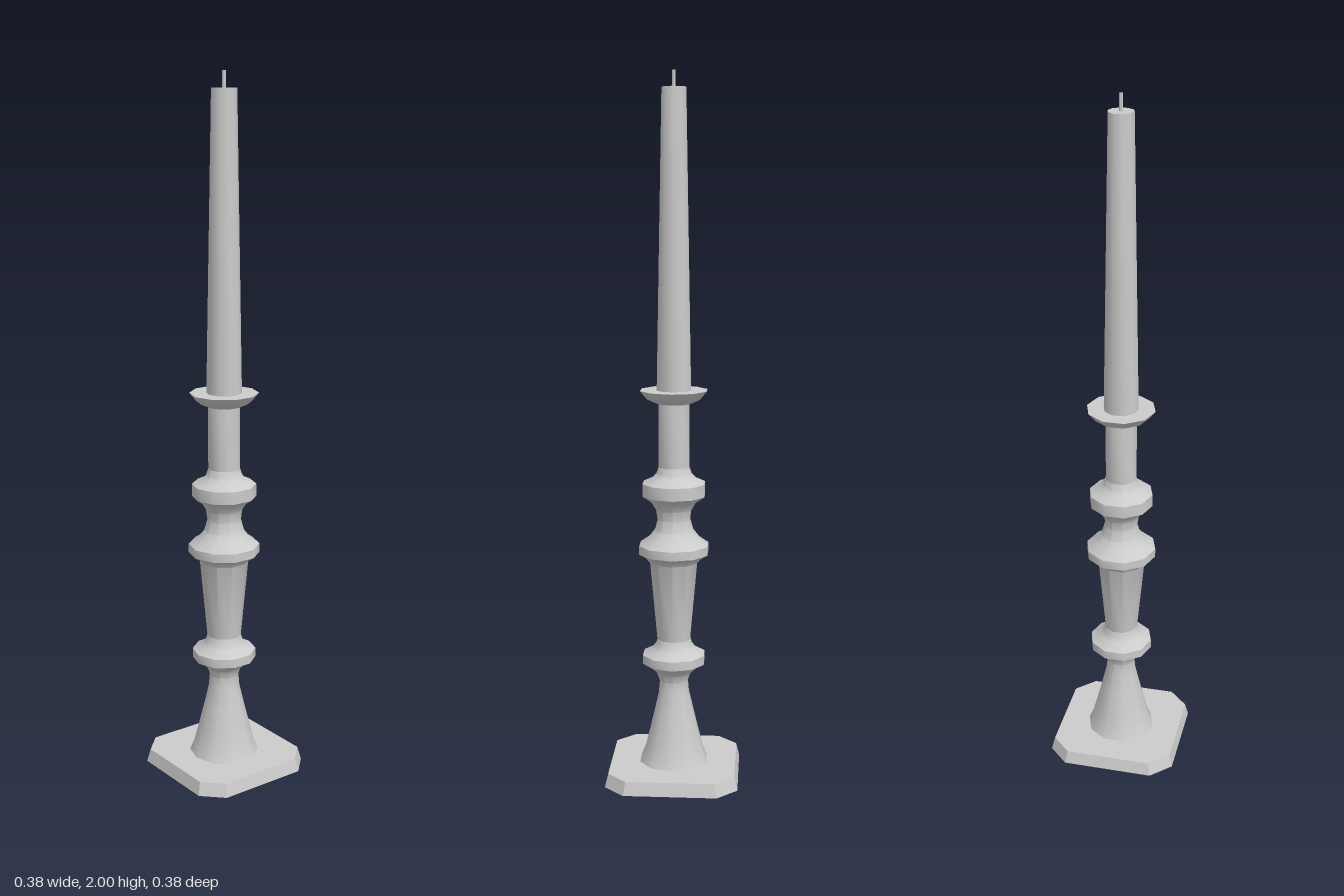
import * as THREE from 'three';
import { toCreasedNormals } from 'three/addons/utils/BufferGeometryUtils.js';

const SIDES = 10;
const material = new THREE.MeshStandardMaterial({ color: 0xcccccc });

function part(name, geometry, creaseDegrees) {
  const mesh = new THREE.Mesh(toCreasedNormals(geometry, THREE.MathUtils.degToRad(creaseDegrees)), material);
  mesh.name = name;
  return mesh;
}

// Ten-sided turned solid from [radius, height] pairs, listed bottom to top
function turned(name, profile) {
  const points = profile.map(([r, y]) => new THREE.Vector2(r, y));
  return part(name, new THREE.LatheGeometry(points, SIDES, Math.PI / 2), 38);
}

// Square plate with cut corners, tapering slightly to the top
function makeBase() {
  const w = 0.189, c = 0.132, height = 0.038;
  const outline = [[w, -c], [w, c], [c, w], [-c, w], [-w, c], [-w, -c], [-c, -w], [c, -w]];
  const shape = new THREE.Shape(outline.map(([x, y]) => new THREE.Vector2(x, y)));
  const geometry = new THREE.ExtrudeGeometry(shape, { depth: height, bevelEnabled: false });
  geometry.rotateX(-Math.PI / 2);
  const p = geometry.attributes.position;
  for (let i = 0; i < p.count; i++) {
    if (p.getY(i) > height / 2) p.setXYZ(i, p.getX(i) * 0.952, height, p.getZ(i) * 0.952);
  }
  return part('base', geometry, 20);
}

export function createModel() {
  const group = new THREE.Group();
  group.name = 'candlestick';

  group.add(makeBase());

  // Flared foot up to the lower ring
  group.add(turned('foot', [
    [0.102, 0.036], [0.099, 0.043], [0.088, 0.07], [0.075, 0.12], [0.059, 0.185],
    [0.045, 0.245], [0.042, 0.28], [0.05, 0.303], [0.068, 0.321], [0.092, 0.334],
    [0.092, 0.36], [0.063, 0.375], [0.053, 0.39], [0.049, 0.405],
  ]));

  // Tapered shaft, middle ring, waist and upper ring
  group.add(turned('stem', [
    [0.049, 0.405], [0.07, 0.632], [0.082, 0.646], [0.102, 0.658],
    [0.102, 0.683], [0.075, 0.702], [0.057, 0.725], [0.048, 0.757],
    [0.052, 0.785], [0.066, 0.808], [0.092, 0.826], [0.092, 0.862],
    [0.064, 0.875], [0.052, 0.888], [0.045, 0.908],
  ]));

  // Candle socket with its drip pan
  group.add(turned('socket', [[0.045, 0.908], [0.045, 1.092]]));
  group.add(turned('dripPan', [
    [0, 1.09], [0.05, 1.09], [0.078, 1.103], [0.098, 1.127], [0, 1.127],
  ]));

  group.add(turned('candle', [[0.05, 1.12], [0.035, 1.955], [0, 1.955]]));
  group.add(turned('wick', [[0.005, 1.95], [0.005, 2], [0, 2]]));

  return group;
}
